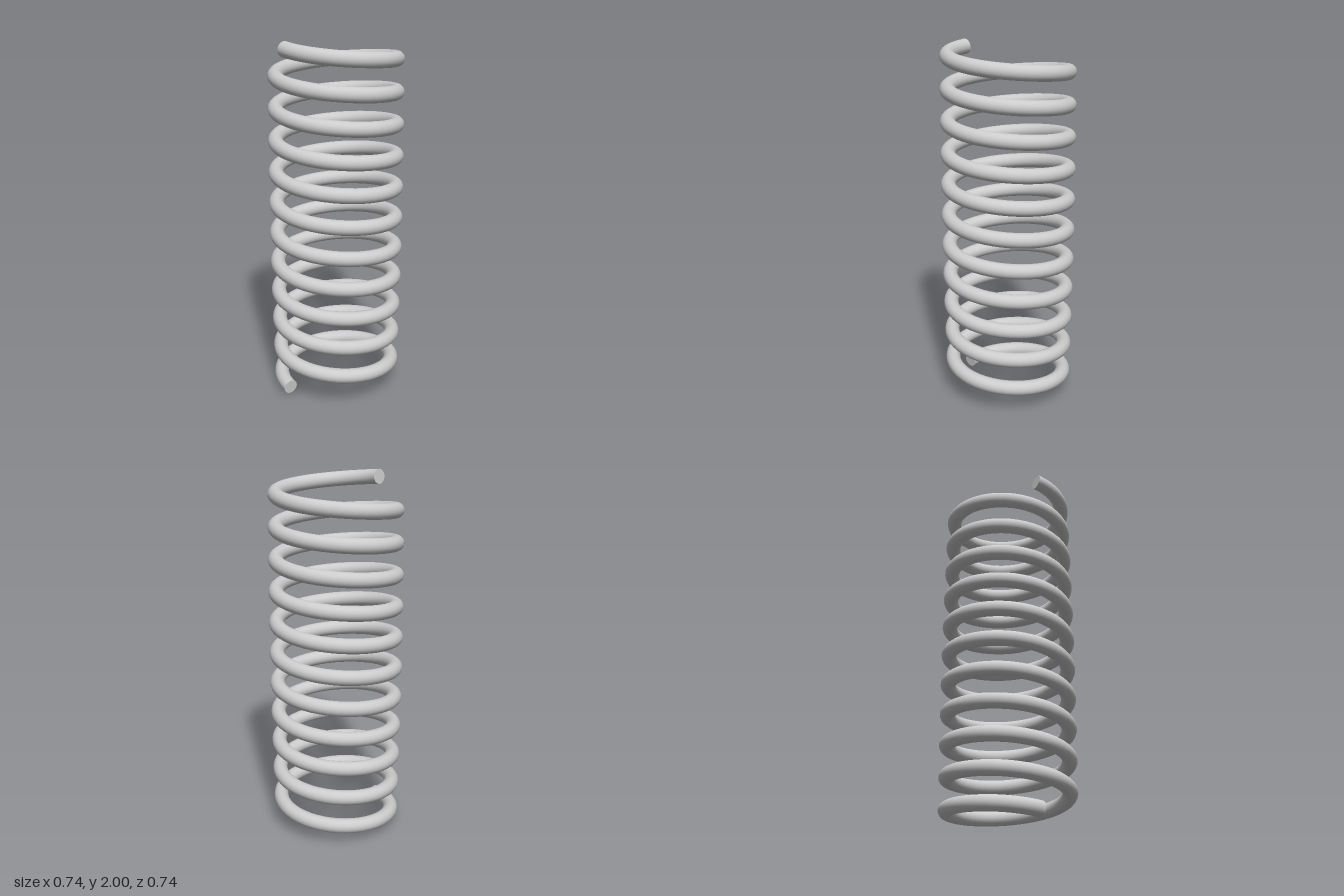
import * as THREE from 'three';

const TURNS = 11;
const WIRE = 0.041; // wire radius
const SIDES = 24;
const STEPS = TURNS * 48;

// Helix that swells slightly at mid height
class CoilCurve extends THREE.Curve {
  getPoint(t, target = new THREE.Vector3()) {
    const angle = Math.PI * 0.75 + t * TURNS * Math.PI * 2;
    const radius = 0.32 + 0.01 * Math.sin(Math.PI * t);
    return target.set(
      radius * Math.cos(angle),
      WIRE + t * (2 - 2 * WIRE),
      radius * Math.sin(angle)
    );
  }
}

// Flat disc closing one end ring of the wire
function endCap(tube, center, ringIndex, flip) {
  const ring = tube.attributes.position;
  const points = [center];
  for (let i = 0; i <= SIDES; i++) {
    const k = flip ? SIDES - i : i;
    points.push(new THREE.Vector3().fromBufferAttribute(ring, ringIndex * (SIDES + 1) + k));
  }
  const index = [];
  for (let i = 1; i <= SIDES; i++) index.push(0, i, i + 1);
  const cap = new THREE.BufferGeometry().setFromPoints(points);
  cap.setIndex(index);
  cap.computeVertexNormals();
  return cap;
}

export function createModel() {
  const group = new THREE.Group();
  group.name = 'coilSpring';
  const material = new THREE.MeshStandardMaterial({ color: 0xcccccc });

  const add = (name, geometry) => {
    const mesh = new THREE.Mesh(geometry, material);
    mesh.name = name;
    group.add(mesh);
  };

  // Coiled wire
  const curve = new CoilCurve();
  curve.arcLengthDivisions = 2000;
  const tube = new THREE.TubeGeometry(curve, STEPS, WIRE, SIDES, false);
  add('coil', tube);

  // Cut ends of the wire
  add('bottomEnd', endCap(tube, curve.getPoint(0), 0, false));
  add('topEnd', endCap(tube, curve.getPoint(1), STEPS, true));

  return group;
}
